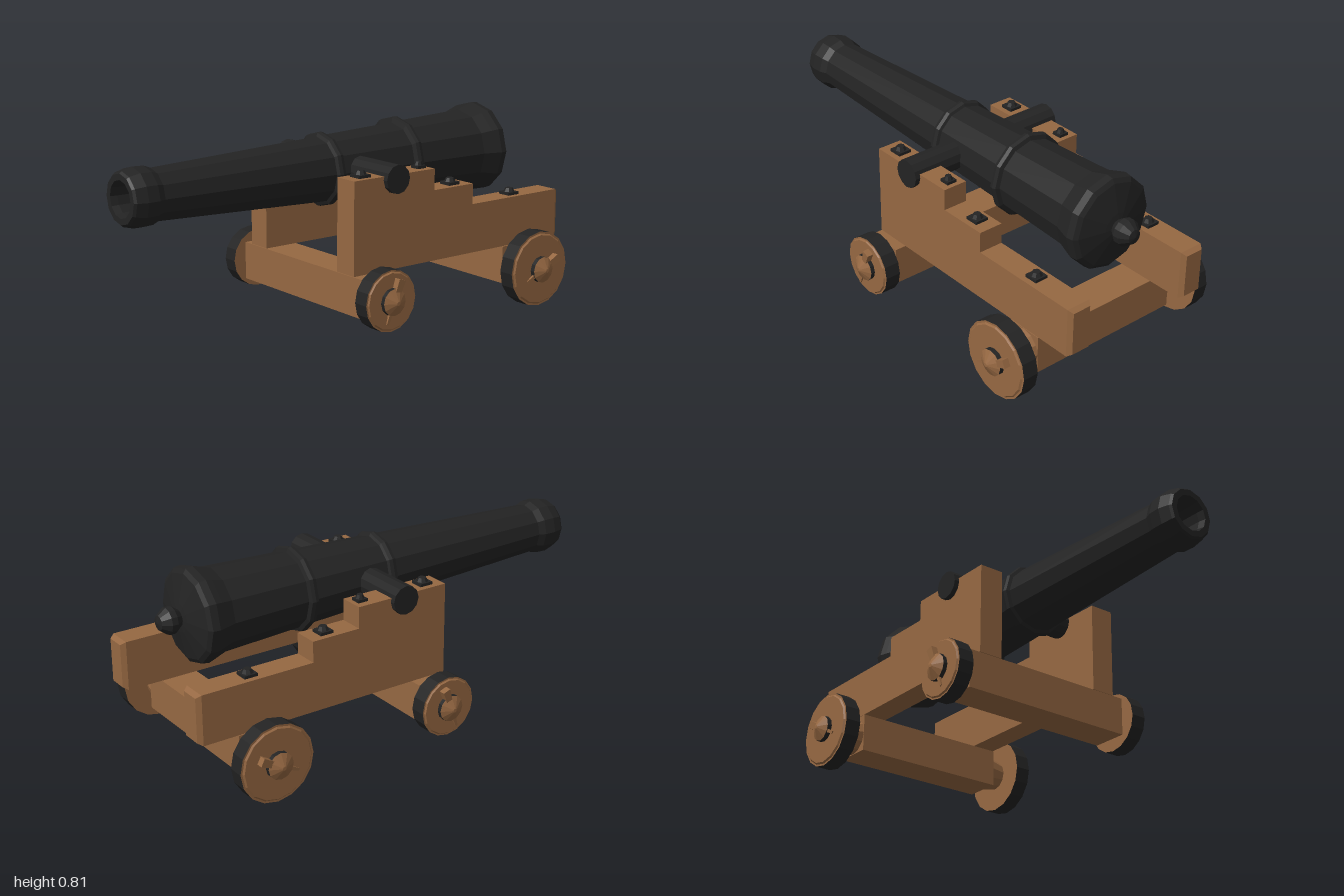
import * as THREE from 'three';

export function createModel() {
  const model = new THREE.Group();
  const wood = new THREE.MeshStandardMaterial({ color: 0x966842, flatShading: true });
  wood.name = 'wood';
  const iron = new THREE.MeshStandardMaterial({ color: 0x232323, flatShading: true });
  iron.name = 'iron';

  const add = (parent, name, geometry, material, x = 0, y = 0, z = 0) => {
    const mesh = new THREE.Mesh(geometry, material);
    mesh.name = name;
    mesh.position.set(x, y, z);
    parent.add(mesh);
    return mesh;
  };
  // cylinder lying along x; rOut is the radius at the +x end
  const rod = (rOut, rIn, length, sides) =>
    new THREE.CylinderGeometry(rOut, rIn, length, sides).rotateZ(-Math.PI / 2);
  // box whose vertices on one end of an axis are scaled toward the centre
  const taperedBox = (w, h, d, axis, scales) => {
    const geo = new THREE.BoxGeometry(w, h, d);
    const p = geo.attributes.position;
    const v = new THREE.Vector3();
    for (let i = 0; i < p.count; i++) {
      v.fromBufferAttribute(p, i);
      if (v[axis] < 0) v.multiply(scales);
      p.setXYZ(i, v.x, v.y, v.z);
    }
    geo.computeVertexNormals();
    return geo;
  };

  // Barrel: [radius, z] from the breech knob to the muzzle and into the bore
  const profile = [
    [0, -0.965], [0.03, -0.958], [0.055, -0.925], [0.055, -0.9], [0.035, -0.872],
    [0.06, -0.868], [0.175, -0.842], [0.193, -0.83], [0.197, -0.8], [0.188, -0.77], [0.172, -0.72],
    [0.158, -0.376], [0.175, -0.37], [0.179, -0.355], [0.175, -0.34], [0.155, -0.334],
    [0.141, 0.026], [0.152, 0.032], [0.156, 0.047], [0.152, 0.062], [0.138, 0.068],
    [0.106, 0.865], [0.118, 0.895], [0.12, 0.945], [0.108, 0.99], [0.1, 1],
    [0.075, 1], [0.07, 0.97], [0.07, 0.8], [0, 0.8],
  ].map(([r, z]) => new THREE.Vector2(r, z));
  add(model, 'barrel', new THREE.LatheGeometry(profile, 12).rotateX(Math.PI / 2), iron, 0, 0.618, 0);
  add(model, 'trunnions', rod(0.06, 0.06, 0.74, 12), iron, 0, 0.62, -0.06);

  // Stepped cheek outline, drawn with -z to the right
  const cheekShape = new THREE.Shape([
    [-0.15, 0.248], [-0.15, 0.635], [0.272, 0.635], [0.272, 0.545],
    [0.487, 0.545], [0.487, 0.457], [0.98, 0.457], [0.98, 0.248],
  ].map(([u, y]) => new THREE.Vector2(u, y)));
  const cheekGeo = new THREE.ExtrudeGeometry(cheekShape, { depth: 0.107, bevelEnabled: false })
    .rotateY(Math.PI / 2).translate(-0.0535, 0, 0);
  const cheekEndGeo = taperedBox(0.107, 0.209, 0.02, 'z', new THREE.Vector3(0.76, 0.88, 1));

  const bolts = [[0.635, 0.075, 0.058], [0.635, -0.23, 0.044], [0.545, -0.405, 0.058], [0.457, -0.75, 0.058]];
  for (const s of [1, -1]) {
    const cheek = new THREE.Group();
    cheek.name = s > 0 ? 'leftCheek' : 'rightCheek';
    cheek.position.x = s * 0.295;
    model.add(cheek);
    add(cheek, 'cheekBoard', cheekGeo, wood);
    add(cheek, 'cheekEnd', cheekEndGeo, wood, 0, 0.3525, -0.99);
    // bolts with square plates and faceted nuts
    for (const [y, z, size] of bolts) {
      add(cheek, 'boltPlate', new THREE.BoxGeometry(size, 0.012, size), iron, 0, y + 0.006, z);
      add(cheek, 'boltNut', new THREE.CylinderGeometry(size * 0.28, size * 0.42, 0.016, 8), iron, 0, y + 0.02, z);
    }
  }

  // Axles with wheels: beam half length, wheel radius, inner wheel face, hub tip, pin tilt
  const axles = [
    { name: 'front', z: 0.07, half: 0.397, radius: 0.127, inner: 0.414, tip: 0.53, tilt: -0.35, shoulder: 0.066 },
    { name: 'rear', z: -0.748, half: 0.35, radius: 0.162, inner: 0.422, tip: 0.54, tilt: -1.1, shoulder: 0.08 },
  ];
  for (const a of axles) {
    const axle = new THREE.Group();
    axle.name = a.name + 'Axle';
    axle.position.set(0, 0.165, a.z);
    model.add(axle);
    add(axle, 'axleBeam', new THREE.BoxGeometry(a.half * 2, 0.162, 0.16), wood);

    for (const s of [1, -1]) {
      const side = new THREE.Group();
      side.name = a.name + (s > 0 ? 'LeftWheel' : 'RightWheel');
      side.rotation.y = s > 0 ? 0 : Math.PI;
      axle.add(side);

      // shoulder between beam and wheel
      const len = a.inner - a.half + 0.01;
      add(side, 'axleShoulder', rod(0.06, a.shoulder, len, 12), wood, a.half + len / 2);
      // wooden disc with an iron tyre
      const width = 0.068;
      add(side, 'wheel', rod(a.radius, a.radius, width, 16), [iron, wood, wood], a.inner + width / 2);
      add(side, 'wheelFace', rod(a.radius * 0.91, a.radius * 0.95, 0.006, 16), wood, a.inner + width + 0.003);
      // hub band, pointed cap and linchpin
      const hubStart = a.inner + width;
      const capLen = 0.024;
      const bandLen = a.tip - capLen - hubStart;
      add(side, 'hubBand', rod(0.056, 0.056, bandLen, 12), iron, hubStart + bandLen / 2);
      add(side, 'hubCap', rod(0.008, 0.056, capLen, 12), wood, a.tip - capLen / 2);
      const pin = add(side, 'linchpin',
        taperedBox(0.032, 0.188, 0.034, 'y', new THREE.Vector3(0.15, 1, 0.3)), wood, hubStart + 0.018);
      pin.rotation.x = s * a.tilt;
    }
  }
  return model;
}
